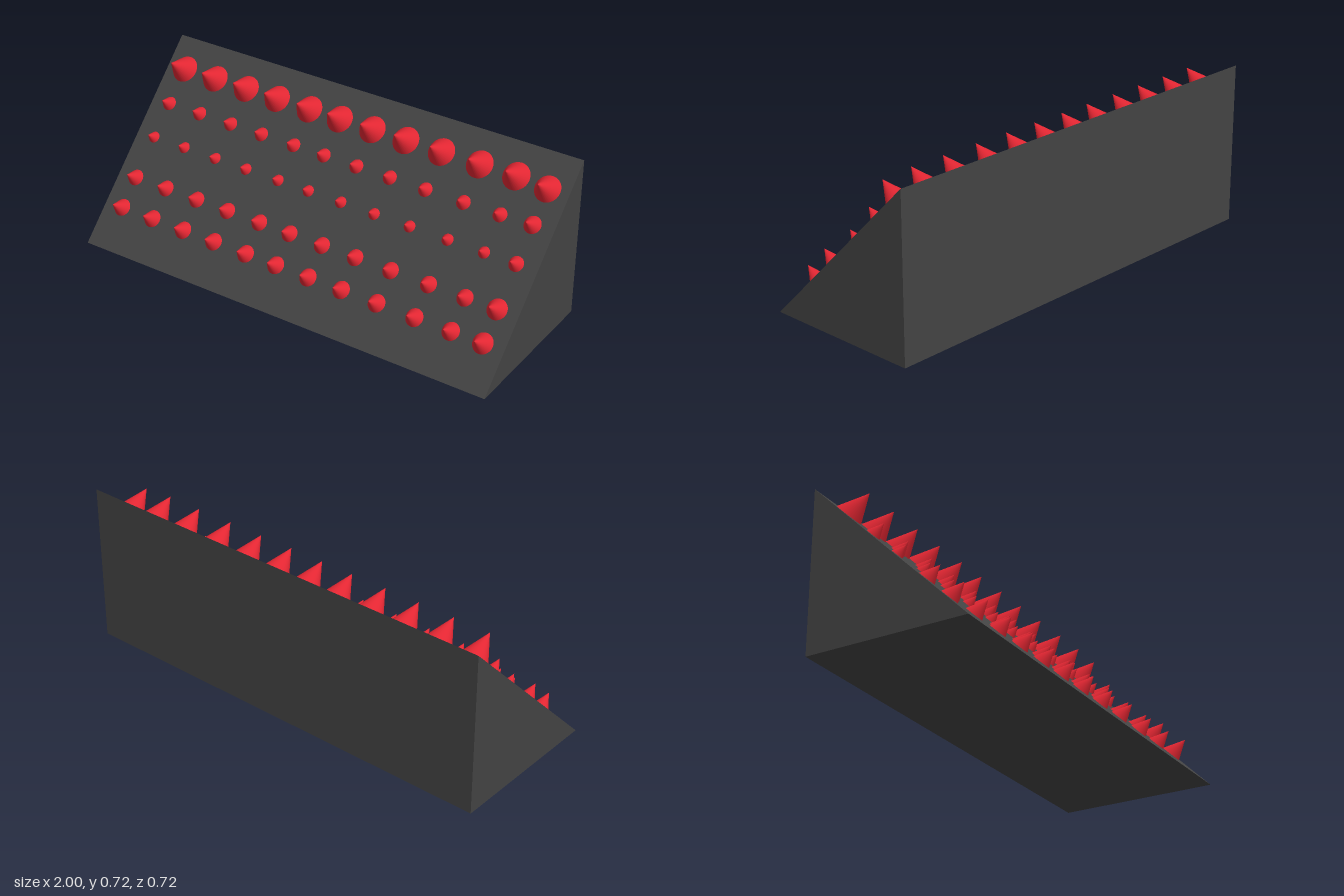
import * as THREE from 'three';

export function createModel() {
  const model = new THREE.Group();
  const darkGrey = new THREE.MeshStandardMaterial({ color: 0x434343 });
  darkGrey.name = 'darkGrey';
  const red = new THREE.MeshStandardMaterial({ color: 0xe32632 });
  red.name = 'red';

  // Wedge: right triangle extruded along x, sloping up towards the back
  const half = 0.36;
  const profile = new THREE.Shape([
    new THREE.Vector2(-half, 0),
    new THREE.Vector2(half, 0),
    new THREE.Vector2(half, 2 * half),
  ]);
  const wedgeGeometry = new THREE.ExtrudeGeometry(profile, { depth: 2, bevelEnabled: false });
  wedgeGeometry.rotateY(Math.PI / 2).translate(-1, 0, 0);
  const wedge = new THREE.Mesh(wedgeGeometry, darkGrey);
  wedge.name = 'wedge';
  model.add(wedge);

  // Spike: unit cone with its tip at the origin, leaning out of the slope
  const spikeGeometry = new THREE.ConeGeometry(0.5, 1, 32);
  spikeGeometry.translate(0, -0.5, 0).rotateX(0.907);

  // Tip [y, z] of the spikes in each row, and of the odd one at the left end
  const columns = [-0.909, -0.741, -0.573, -0.409, -0.241, -0.086,
    0.077, 0.241, 0.412, 0.591, 0.759, 0.904];
  const rows = [
    { tip: [0.688, -0.162], endTip: [0.677, -0.16] },
    { tip: [0.535, -0.088], endTip: [0.545, -0.08] },
    { tip: [0.412, 0.019], endTip: [0.42, 0.031] },
    { tip: [0.286, 0.175], endTip: [0.296, 0.187] },
    { tip: [0.187, 0.281], endTip: [0.194, 0.29] },
  ];

  rows.forEach(({ tip, endTip }, r) => {
    const row = new THREE.Group();
    row.name = `spikeRow${r + 1}`;
    columns.forEach((x, i) => {
      const [y, z] = i === columns.length - 1 ? endTip : tip;
      const spike = new THREE.Mesh(spikeGeometry, red);
      spike.name = 'spike';
      spike.position.set(x, y, z);
      // Long enough to sink the whole base into the slope
      spike.scale.setScalar((y + z - half) * 0.85);
      row.add(spike);
    });
    model.add(row);
  });

  return model;
}
